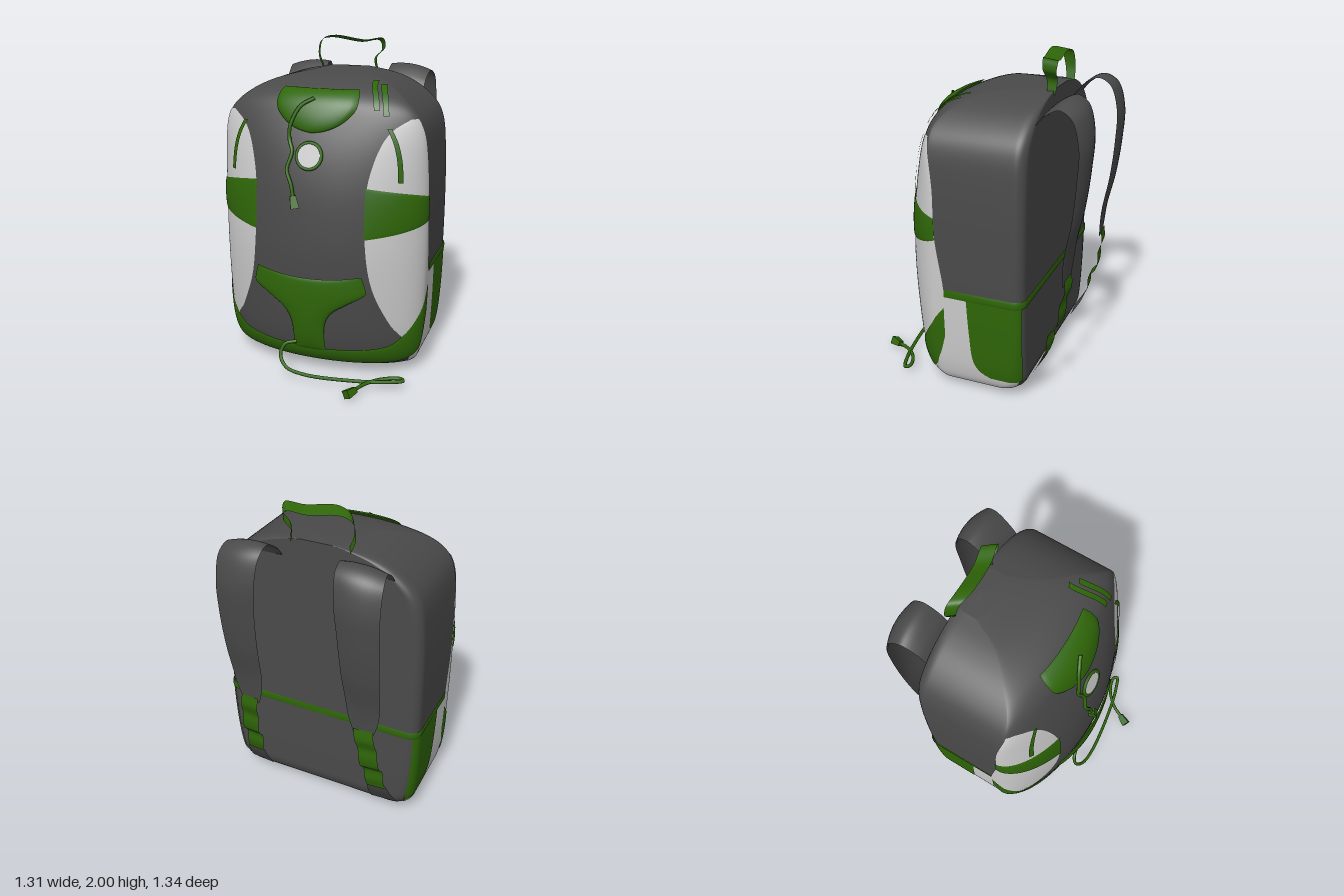
import * as THREE from 'three';

const mat = (color) => new THREE.MeshStandardMaterial({ color, side: THREE.DoubleSide });
const V = (x, y, z) => new THREE.Vector3(x, y, z);
const mix = THREE.MathUtils.lerp;

// smooth curve through [position, value] pairs
function interp(p) {
  const n = p.length - 1;
  const slope = (i) => {
    const a = p[Math.max(i - 1, 0)], b = p[Math.min(i + 1, n)];
    return (b[1] - a[1]) / (b[0] - a[0]);
  };
  return (q) => {
    const x = Math.min(Math.max(q, p[0][0]), p[n][0]);
    let i = 0;
    while (i < n - 1 && x > p[i + 1][0]) i++;
    const h = p[i + 1][0] - p[i][0], t = (x - p[i][0]) / h, t2 = t * t, t3 = t2 * t;
    return (2 * t3 - 3 * t2 + 1) * p[i][1] + (t3 - 2 * t2 + t) * h * slope(i)
      + (3 * t2 - 2 * t3) * p[i + 1][1] + (t3 - t2) * h * slope(i + 1);
  };
}

// bag outline by height: half width, front centre, start of the front bulge, back, back corner radius
const LOW = .018, TOP = 1.795;
const halfW = interp([[LOW, .53], [.04, .575], [.1, .607], [.25, .63], [.6, .644], [1.1, .646], [1.4, .633], [1.52, .614],
  [1.6, .575], [1.68, .49], [1.74, .385], [1.775, .27], [TOP, .15]]);
const frontZ = interp([[LOW, .26], [.04, .33], [.1, .395], [.2, .435], [.4, .465], [.75, .49], [1, .48], [1.2, .455],
  [1.4, .405], [1.6, .325], [1.68, .275], [1.74, .18], [1.78, .01], [TOP, -.2]]);
const sideZ = interp([[LOW, .1], [.1, .15], [.4, .17], [1.2, .175], [1.6, .195], [1.68, .16], [1.74, .075], [1.78, -.06], [TOP, -.25]]);
const backZ = interp([[LOW, -.275], [.05, -.332], [.1, -.362], [.15, -.372], [TOP, -.372]]);
const cornerR = interp([[LOW, .13], [.1, .1], [.3, .075], [.6, .065], [TOP, .065]]);
const BULGE = 1.18;

// s: 0 front centre, 1 side, 2 back corner, 3 back centre; negative s is mirrored
function point(s, y) {
  const a = Math.abs(s), m = Math.sign(s), w = halfW(y), zs = sideZ(y), zb = backZ(y), r = cornerR(y);
  if (a <= 1) {
    const t = a * Math.PI / 2;
    return V(m * w * Math.sin(t), y, zs + (frontZ(y) - zs) * Math.max(0, Math.cos(t)) ** BULGE);
  }
  if (a <= 2) return V(m * w, y, zs + (zb + r - zs) * (a - 1));
  if (a <= 2.4) {
    const t = (a - 2) / .4 * Math.PI / 2;
    return V(m * (w - r + r * Math.cos(t)), y, zb + r - r * Math.sin(t));
  }
  return V(m * (w - r) * (3 - a) / .6, y, zb);
}
function normal(s, y) {
  const e = .004, y0 = Math.max(y - e, LOW), y1 = Math.min(y + e, TOP);
  const ds = point(s + e, y).sub(point(s - e, y));
  return ds.cross(point(s, y1).sub(point(s, y0))).normalize();
}
const onBag = (s, y, off) => point(s, y).addScaledVector(normal(s, y), off);
const sAtX = (x, y) => Math.asin(Math.max(-1, Math.min(1, x / halfW(y)))) * 2 / Math.PI;
const sAtZ = (z, y) => {
  const zs = sideZ(y);
  return z > zs ? Math.acos(Math.min(1, (z - zs) / (frontZ(y) - zs)) ** (1 / BULGE)) * 2 / Math.PI
    : 1 + (zs - z) / (zs - backZ(y) - cornerR(y));
};

function grid(nu, nv, f) {
  const pos = [], idx = [], row = nu + 1;
  for (let j = 0; j <= nv; j++) for (let i = 0; i <= nu; i++) pos.push(...f(i / nu, j / nv).toArray());
  for (let j = 0; j < nv; j++) for (let i = 0; i < nu; i++) {
    const a = j * row + i, d = a + row;
    idx.push(a, a + 1, d + 1, a, d + 1, d);
  }
  const g = new THREE.BufferGeometry();
  g.setAttribute('position', new THREE.Float32BufferAttribute(pos, 3));
  g.setIndex(idx);
  g.computeVertexNormals();
  return g;
}

// thin strap along a path, its edges bowed towards the inside of the arc
function strap(points, widths, dir, bow = 0) {
  const curve = new THREE.CatmullRomCurve3(points), w = interp(widths), side = dir.clone().normalize();
  return grid(8, 60, (a, b) => {
    const n = curve.getTangent(b).cross(side).normalize(), c = 2 * a - 1;
    return curve.getPoint(b).addScaledVector(side, c * w(b) / 2).addScaledVector(n, bow * c * c * Math.sin(Math.PI * b));
  });
}

export function createModel() {
  const model = new THREE.Group();
  const dark = mat(0x4a4a4a), light = mat(0xcccccc), green = mat(0x2f6608);
  const add = (name, geo, material) => {
    const m = new THREE.Mesh(geo, material);
    m.name = name;
    model.add(m);
    return m;
  };
  // panel lying on the bag; f maps the unit square to [s, y]
  const panel = (name, material, off, bulge, f, nu = 24, nv = 32) =>
    add(name, grid(nu, nv, (a, b) => {
      const [s, y] = f(a, b);
      return onBag(s, y, off + bulge * Math.sqrt(Math.max(0, Math.sin(Math.PI * a) * Math.sin(Math.PI * b))));
    }), material);
  const pair = (name, material, off, bulge, f, nu, nv) => {
    panel('left' + name, material, off, bulge, f, nu, nv);
    panel('right' + name, material, off, bulge, (a, b) => {
      const [s, y] = f(1 - a, b);
      return [-s, y];
    }, nu, nv);
  };

  // main bag with closed top and gently domed bottom
  const rows = 90;
  add('bagBody', grid(150, rows, (a, b) => {
    const j = Math.round(b * rows);
    if (j === 0) return V(0, 0, -.03);
    if (j === rows) return V(0, TOP + .003, -.3);
    return point(mix(-3, 3, a), mix(LOW, TOP, .5 - .5 * Math.cos(Math.PI * (j - 1) / (rows - 2))));
  }), dark);

  // light panels on the front corners and lower sides
  const innerX = interp([[.2, .57], [.26, .54], [.35, .48], [.6, .38], [.9, .34], [1.15, .338], [1.3, .36], [1.45, .41], [1.53, .47], [1.58, .55]]);
  const outerZ = interp([[.2, .1], [.65, .11], [1, .16], [1.3, .17], [1.58, .21]]);
  pair('FrontPanel', light, .004, 0, (a, b) => {
    const y = mix(.2, 1.58, b), s = sAtX(innerX(y), y);
    return [mix(s, Math.max(sAtZ(outerZ(y), y), s), a), y];
  }, 24, 60);
  pair('LowerSidePanel', light, .003, 0, (a, b) => [mix(.78, 2.2, a), mix(.045, .64, b)], 40);

  // green pockets and webbing on the sides and back
  const pocketZ = interp([[.12, -.17], [.15, -.11], [.22, -.065], [.4, -.045], [.64, -.03]]);
  pair('SidePocket', green, .006, 0, (a, b) => {
    const y = mix(.12, .64, b);
    return [mix(sAtZ(pocketZ(y), y), 2.25, a), y];
  });
  pair('WaistWebbing', green, .006, .004, (a, b) => {
    const y = mix(.63, .68, b);
    return [mix(sAtZ(.11, y), 3, a), y];
  }, 60, 6);

  // green bands across the front panels
  pair('FrontBand', green, .007, .008, (a, b) => {
    const s = mix(sAtX(.335, 1.05), sAtZ(.16, 1.05), a);
    return [s, mix(mix(.9, .985, a), mix(1.2, 1.12, a), b)];
  });

  // curved hem around the bottom
  const hemTop = interp([[0, .165], [.5, .2], [.68, .28], [.85, .39], [1.125, .56]]);
  const hemLow = interp([[0, .07], [.4, .07], [.68, .085], [.93, .15], [1.05, .25], [1.125, .37]]);
  panel('bottomHem', green, .008, .005, (a, b) => {
    const s = mix(-1.125, 1.125, a);
    return [s, mix(hemLow(Math.abs(s)), hemTop(Math.abs(s)), b)];
  }, 72, 12);

  // T-shaped lower patch with a dipped top edge, and rounded flap pocket
  const teeX = interp([[.16, .1], [.3, .1], [.37, .115], [.43, .16], [.48, .24], [.54, .345], [.58, .345], [.67, .315]]);
  panel('lowerFrontPatch', green, .012, .02, (a, b) => {
    const y = mix(.16, .645, b), s = sAtX(teeX(y), y), c = 2 * a - 1;
    return [c * s, y + .03 * c * c * b * b];
  }, 24, 48);
  const flapX = interp([[1.49, .01], [1.5, .07], [1.53, .145], [1.58, .21], [1.63, .245], [1.69, .245], [1.72, .23]]);
  panel('topPocket', green, .01, .032, (a, b) => {
    const y = mix(1.49, 1.72, b), s = sAtX(flapX(y), y);
    return [mix(-s, s, a), y];
  });

  // zip pulls on the panels and a pair of loops near the top
  const strip = (xs, y0, y1, w) => (a, b) => {
    const y = mix(y0, y1, b);
    return [sAtX(xs(y) + (a - .5) * w, y), y];
  };
  pair('ZipPull', green, .015, 0, strip(interp([[1.23, .515], [1.35, .505], [1.45, .48], [1.53, .44]]), 1.23, 1.53, .026), 2, 20);
  for (const dx of [0, .05])
    panel('topLoop', green, .014, 0, strip(interp([[1.6, .365 + dx], [1.68, .34 + dx], [1.75, .295 + dx]]), 1.62 - dx / 2, 1.757 - dx / 3, .032), 2, 20);

  // round badge
  const badge = new THREE.Group();
  badge.name = 'roundBadge';
  const disc = new THREE.Mesh(new THREE.CylinderGeometry(.075, .075, .012, 40).rotateX(Math.PI / 2), light);
  disc.name = 'badgeDisc';
  const rim = new THREE.Mesh(new THREE.TorusGeometry(.076, .01, 8, 40), green);
  rim.name = 'badgeRim';
  badge.add(disc, rim);
  badge.position.copy(onBag(0, 1.365, .008));
  badge.lookAt(badge.position.clone().add(normal(0, 1.365)));
  model.add(badge);

  // draw cords with toggles
  const cord = (name, pts) => {
    add(name, new THREE.TubeGeometry(new THREE.CatmullRomCurve3(pts), 90, .011, 8), green);
    const end = pts[pts.length - 1], dir = end.clone().sub(pts[pts.length - 2]).normalize();
    const t = add(name + 'Toggle', new THREE.CylinderGeometry(.036, .024, .075, 4).rotateY(Math.PI / 4).toNonIndexed(), green);
    t.geometry.computeVertexNormals();
    t.position.copy(end).addScaledVector(dir, .03);
    t.quaternion.setFromUnitVectors(V(0, 1, 0), dir);
  };
  cord('upperCord', [[0, 1.66, .045], [-.07, 1.62, .055], [-.12, 1.52, .045], [-.125, 1.45, .025], [-.1, 1.38, .025],
    [-.12, 1.28, .03], [-.09, 1.2, .028], [-.075, 1.13, .025]].map(([x, y, o]) => onBag(sAtX(x, y), y, o)));
  cord('lowerCord', [[-.08, .2, .45], [-.15, .18, .47], [-.17, .12, .5], [-.12, .06, .535], [0, .035, .545], [.3, .03, .51],
    [.5, .035, .465], [.59, .04, .425], [.57, .04, .405], [.47, .035, .435], [.38, .03, .52], [.34, .025, .6]].map((p) => V(...p)));

  // carry handle
  add('carryHandle', strap([[-.2, 1.78, -.36], [-.225, 1.86, -.35], [-.2, 1.955, -.335], [-.12, 1.98, -.32], [.08, 1.955, -.335],
    [.19, 1.965, -.36], [.205, 1.91, -.36], [.155, 1.85, -.36], [.165, 1.77, -.36]].map((p) => V(...p)),
  [[0, .05], [.25, .08], [.4, .1], [.7, .085], [1, .05]], V(.55, .25, .9)), green);

  // shoulder straps with webbing and anchor tabs
  for (const [side, m] of [['left', 1], ['right', -1]]) {
    const path = (pts) => pts.map(([x, y, z]) => V(m * x, y, z));
    add(side + 'ShoulderStrap', strap(path([[.34, 1.66, -.365], [.342, 1.74, -.42], [.352, 1.8, -.52], [.362, 1.755, -.61], [.37, 1.6, -.66],
      [.378, 1.4, -.655], [.38, 1.15, -.625], [.38, .92, -.575], [.375, .72, -.55]]),
    [[0, .26], [.2, .265], [.4, .27], [.75, .23], [.92, .19], [1, .12]], V(1, -.12 * m, .07 * m), .025), dark);
    add(side + 'LowerWebbing', strap(path([[.38, .76, -.56], [.39, .68, -.565], [.4, .6, -.54], [.405, .53, -.54], [.41, .46, -.525],
      [.415, .4, -.48], [.42, .32, -.475], [.43, .25, -.455]]), [[0, .12], [1, .12]], V(1, 0, .08 * m)), green);
    add(side + 'AnchorTab', strap(path([[.43, .28, -.462], [.435, .2, -.43], [.445, .08, -.36]]), [[0, .12], [1, .17]], V(1, 0, .08 * m)), dark);
  }
  return model;
}
